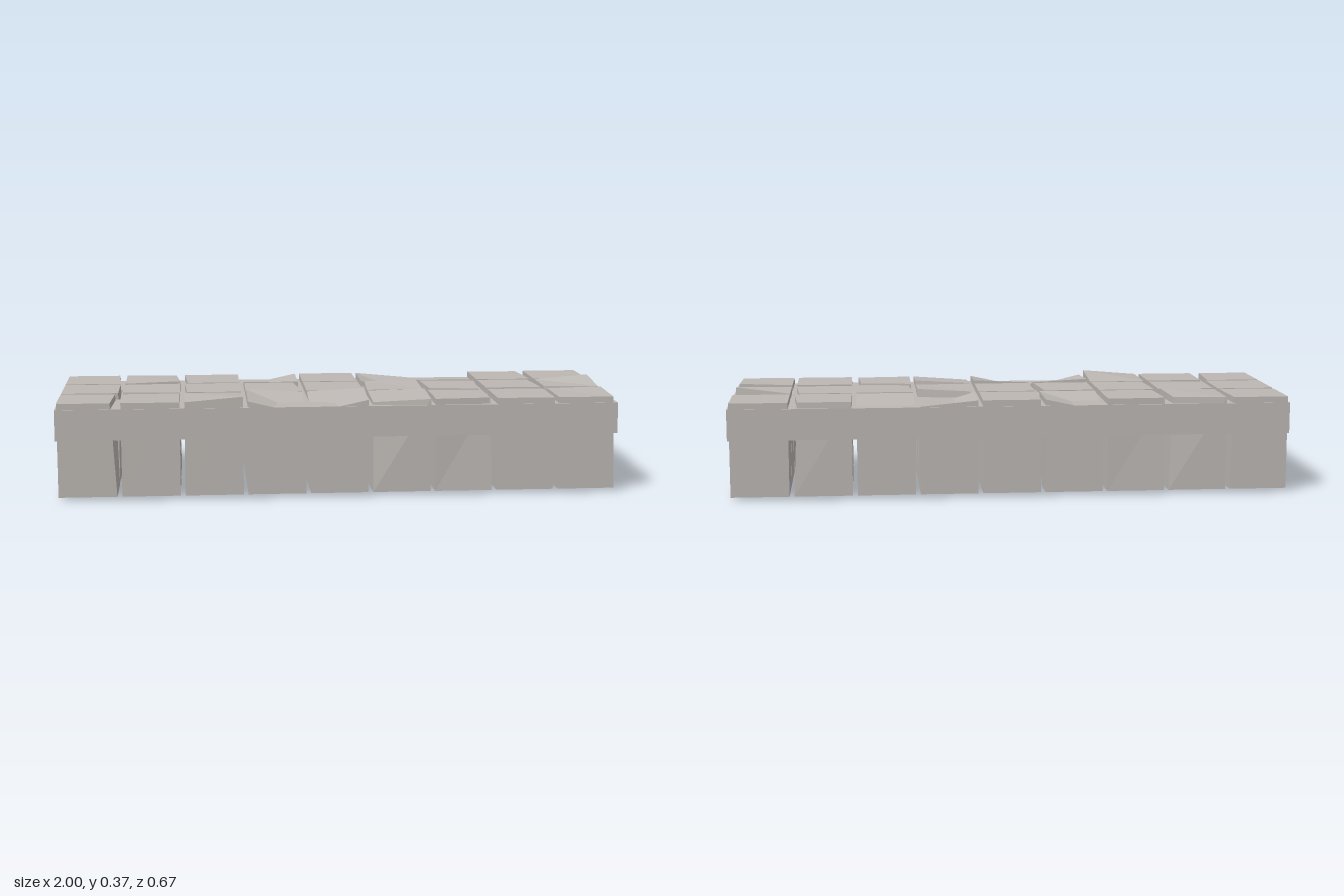
import * as THREE from 'three';

const PITCH_X = 0.2225, PITCH_Z = 0.2255, HALF_X = 0.1027, HALF_Z = 0.1045;
const BOTTOM = 0.013, TOP = 0.347;

// Worn top corners: 'column,row' -> { corner: [dx, dy, dz] }
// rows: 0 back, 1 middle, 2 front; corners: 0 back-left, 1 back-right, 2 front-right, 3 front-left
const WORN = {
  '0,0': { 1: [-0.01, 0, 0] },
  '1,0': { 1: [-0.015, 0, 0.015], 2: [0, 0.007, 0] },
  '2,0': { 0: [0, 0, 0.008], 3: [0.012, 0, 0] },
  '3,0': { 0: [0, -0.045, 0] },
  '5,0': { 1: [0, -0.02, 0], 2: [0, -0.06, 0] },
  '6,0': { 0: [0, -0.03, 0], 1: [0, -0.03, 0] },
  '7,0': { 1: [-0.015, 0, 0.01] },
  '1,1': { 0: [0, 0, 0.01], 3: [0, 0, -0.02] },
  '2,1': { 3: [0.01, 0, 0] },
  '3,1': { 0: [0, 0, 0.01], 1: [-0.022, 0, 0] },
  '5,1': { 0: [0.012, 0, 0], 1: [0, 0.008, 0.025], 2: [0, 0, -0.01] },
  '6,1': { 1: [0, 0, 0.015], 2: [-0.015, 0, 0], 3: [0.012, 0, -0.025] },
  '7,1': { 1: [-0.015, 0, 0], 2: [0, 0, -0.02], 3: [0, 0, -0.02] },
  '8,1': { 1: [-0.01, 0.021, 0.03], 2: [-0.006, 0, -0.018], 3: [0, 0, -0.035] },
  '0,2': { 1: [-0.01, 0, 0.008], 2: [-0.02, 0, 0] },
  '1,2': { 0: [0, 0, 0.012], 1: [0, 0, 0.008] },
  '2,2': { 2: [0, 0.017, 0] },
  '3,2': { 0: [0, 0.011, 0], 2: [0, -0.05, 0] },
  '4,2': { 1: [0, 0.01, 0], 3: [0, -0.045, 0] },
  '5,2': { 1: [0, 0.009, 0.025], 3: [0, -0.012, -0.02] },
  '6,2': { 1: [-0.018, 0, 0.02], 2: [-0.008, 0, -0.015] },
  '8,2': { 1: [-0.008, 0.006, 0.01], 2: [-0.01, 0, 0] },
};
// Shifted foot corners
const FOOT = {
  '3,0': { 2: [-0.01, -0.013, -0.01] },
  '8,1': { 1: [0, 0, 0.011], 2: [0, 0, -0.003] },
};

// A stone is a box with an open underside
function stoneGeometry(key) {
  const box = new THREE.BoxGeometry(2 * HALF_X, TOP - BOTTOM, 2 * HALF_Z);
  const index = Array.from(box.index.array);
  // Fold the top through its lowered corner
  const loweredFrontLeft = WORN[key]?.[3]?.[1];
  if (!loweredFrontLeft) index.splice(12, 6, 8, 10, 11, 8, 11, 9);
  index.splice(18, 6);
  box.setIndex(index);
  box.clearGroups();

  const g = box.toNonIndexed();
  g.translate(0, (TOP + BOTTOM) / 2, 0);
  const p = g.attributes.position;
  for (let i = 0; i < p.count; i++) {
    const x = p.getX(i), y = p.getY(i), z = p.getZ(i);
    const corner = z < 0 ? (x < 0 ? 0 : 1) : (x < 0 ? 3 : 2);
    const d = (y > 0.2 ? WORN : FOOT)[key]?.[corner];
    if (d) p.setXYZ(i, x + d[0], y + d[1], z + d[2]);
  }
  g.computeVertexNormals();
  return g;
}

export function createModel() {
  const model = new THREE.Group();
  model.name = 'stonePaving';
  const stone = new THREE.MeshStandardMaterial({ color: 0xbcb7b3, side: THREE.DoubleSide });
  stone.name = 'grey stone';

  // Stones in nine columns and three rows
  const stones = new THREE.Group();
  stones.name = 'stones';
  for (let col = 0; col < 9; col++) {
    for (let row = 0; row < 3; row++) {
      const mesh = new THREE.Mesh(stoneGeometry(`${col},${row}`), stone);
      mesh.name = 'pavingStone';
      mesh.position.set((col - 4) * PITCH_X, 0, (row - 1) * PITCH_Z);
      stones.add(mesh);
    }
  }
  model.add(stones);

  // Mortar slab binding the stones, notched around the middle stone at one end
  const outline = [
    [-1, -0.333], [1, -0.333], [1, 0.333], [-1, 0.333],
    [-1, 0.116], [-0.78, 0.116], [-0.78, -0.116], [-1, -0.116],
  ].map(([x, y]) => new THREE.Vector2(x, y));
  const slab = new THREE.ExtrudeGeometry(new THREE.Shape(outline), { depth: 0.11, bevelEnabled: false });
  slab.rotateX(-Math.PI / 2);
  slab.translate(0, 0.215, 0);
  const mortar = new THREE.Mesh(slab, stone);
  mortar.name = 'mortarSlab';
  model.add(mortar);

  return model;
}
